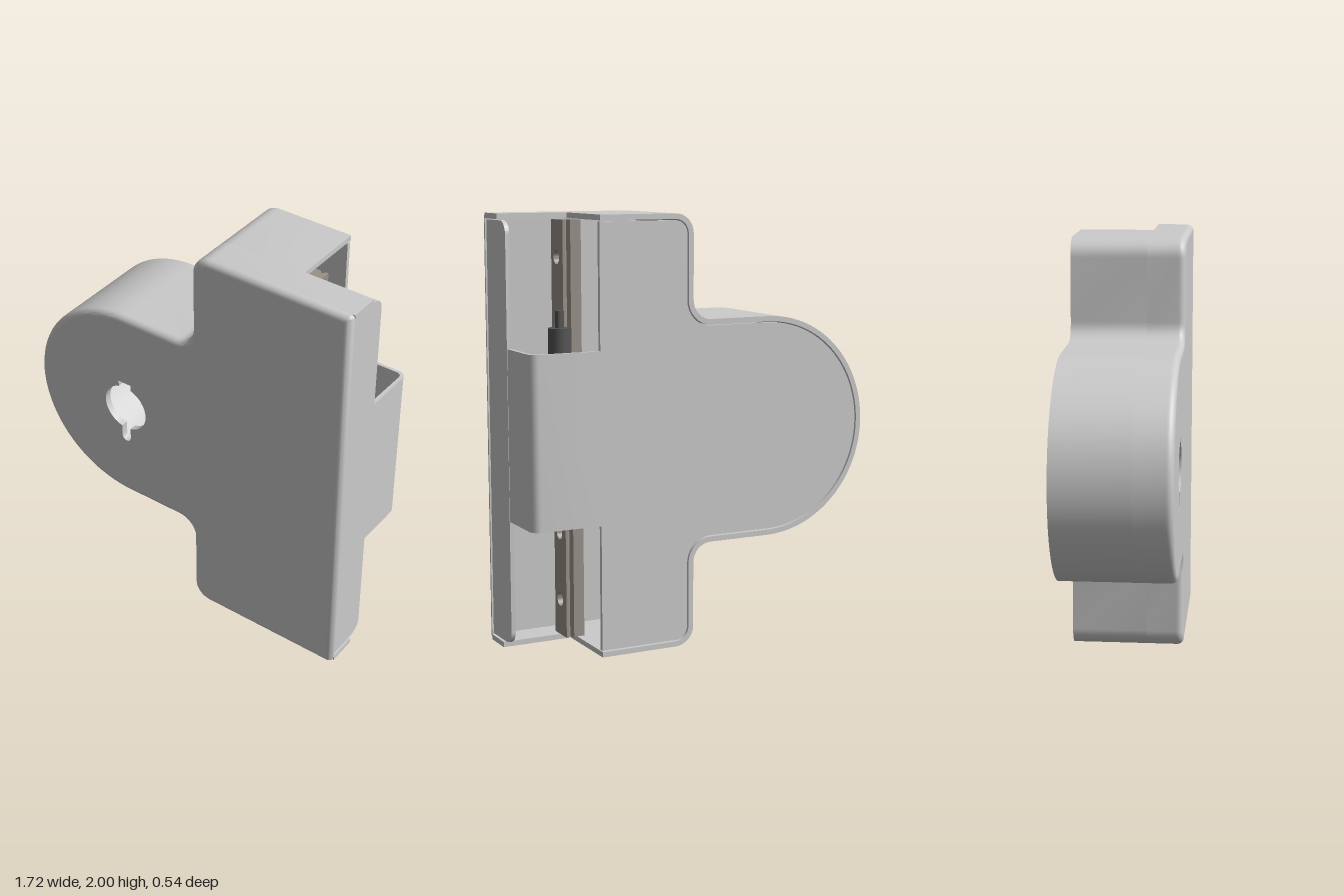
import * as THREE from 'three';
import { toCreasedNormals } from 'three/addons/utils/BufferGeometryUtils.js';

const V = (x, y) => new THREE.Vector2(x, y);
const rad = Math.PI / 180;

function arc(cx, cy, r, a0, a1, n) {
  const pts = [];
  for (let i = 0; i <= n; i++) {
    const a = (a0 + (a1 - a0) * i / n) * rad;
    pts.push(V(cx + r * Math.cos(a), cy + r * Math.sin(a)));
  }
  return pts;
}

// Housing outline inset by d, counter-clockwise from the top right; closed adds the right corners
function outline(d, closed) {
  const c = Math.max(0.02 - d, 0.002);
  const half = [
    ...(closed ? arc(0.86 - d - c, 2 - d - c, c, 0, 90, 4) : []),
    ...arc(0.145, 1.91, 0.09 - d, 90, 180, 8),
    ...arc(-0.035, 1.61, 0.09 + d, 0, -90, 8),
    ...arc(-0.34, 1, 0.52 - d, 90, 180, 24),
  ];
  const mirrored = half.slice(0, -1).reverse().map(p => V(p.x, 2 - p.y));
  return [...half, ...mirrored];
}

function extrude(pts, depth, holes = []) {
  const shape = new THREE.Shape(pts);
  for (const h of holes) shape.holes.push(new THREE.Path(h));
  return new THREE.ExtrudeGeometry(shape, { depth, bevelEnabled: false });
}

// Skin through inset outlines, each given as [inset, z]
function loftRings(list) {
  const rings = list.map(([d, z]) => outline(d, true).map(p => [p.x, p.y, z]));
  const n = rings[0].length, index = [];
  for (let i = 0; i < rings.length - 1; i++)
    for (let j = 0; j < n; j++) {
      const a = i * n + j, b = i * n + (j + 1) % n;
      index.push(a, b, b + n, a, b + n, a + n);
    }
  const g = new THREE.BufferGeometry();
  g.setAttribute('position', new THREE.Float32BufferAttribute(rings.flat(2), 3));
  g.setIndex(index);
  return g;
}

export function createModel() {
  const group = new THREE.Group();
  const grey = new THREE.MeshStandardMaterial({ color: 0xcccccc, side: THREE.DoubleSide });
  const dark = new THREE.MeshStandardMaterial({ color: 0x555555 });
  const metal = new THREE.MeshStandardMaterial({ color: 0x99928a });
  const add = (name, geo, mat = grey, x = 0, y = 0, z = 0) => {
    const m = new THREE.Mesh(toCreasedNormals(geo, 0.6), mat);
    m.name = name;
    m.position.set(x, y, z);
    group.add(m);
    return m;
  };

  // Front plate with the keyed opening
  const kx = -0.34;
  const keyhole = [
    V(kx + 0.035, 1.145), V(kx - 0.035, 1.145),
    ...arc(kx, 1, 0.12, 107, 258, 20),
    ...arc(kx, 0.825, 0.025, 180, 360, 8),
    ...arc(kx, 1, 0.12, 282, 433, 20),
  ];
  add('frontPlate', extrude(outline(0.03, true), 0.035, [keyhole]), grey, 0, 0, 0.235);

  // Rounded rim around the front plate
  const rim = [[0.03, 0.235], [0, 0.235]];
  for (let i = 0; i <= 6; i++) {
    const a = i * 15 * rad;
    rim.push([0.03 * (1 - Math.cos(a)), 0.24 + 0.03 * Math.sin(a)]);
  }
  add('frontRim', loftRings(rim));

  // Outer wall, shortened behind z = 0.09 to leave the corner notches
  const t = 0.025;
  const wall = xEnd => [
    V(xEnd, 2), ...outline(0, false), V(xEnd, 0),
    V(xEnd, t), ...outline(t, false).reverse(), V(xEnd, 2 - t),
  ];
  add('frontWall', extrude(wall(0.86), 0.145), grey, 0, 0, 0.09);
  add('rearWall', extrude(wall(0.52), 0.36), grey, 0, 0, -0.27);

  // Back plate, set slightly inside the wall with a thin gap
  const back = [V(0.52, 1.97), ...outline(0.03, false), V(0.52, 0.03)];
  add('backPlate', extrude(back, 0.02), grey, 0, 0, -0.265);

  // Side panel with rounded rear corners
  const panel = [
    V(-0.24, 0.03),
    ...arc(-0.07, 0.09, 0.06, -90, 0, 8),
    ...arc(-0.07, 1.91, 0.06, 0, 90, 8),
    V(-0.24, 1.97),
  ];
  add('sidePanel', extrude(panel, 0.02).rotateY(Math.PI / 2), grey, 0.832);

  // Middle cover, an open tube section rounded at the rear corner
  const cover = [
    V(0.52, 0.265),
    V(0.52, 0.25),
    ...arc(0.81, 0.225, 0.025, 90, 0, 6),
    V(0.83, -0.02), V(0.85, -0.02),
    ...arc(0.812, 0.225, 0.04, 0, 90, 6),
  ];
  add('middleCover', extrude(cover, 0.79).rotateX(-Math.PI / 2), grey, 0, 0.61);

  // Guide rail: drilled bar with a grooved strip on its rear
  const bar = [V(-0.13, 0.03), V(-0.02, 0.03), V(-0.02, 1.97), V(-0.13, 1.97)];
  const holes = [];
  for (let i = 0; i < 6; i++) holes.push(arc(-0.072, 0.2 + 0.32 * i, 0.032, 0, 345, 23));
  add('guideRail', extrude(bar, 0.09, holes).rotateY(Math.PI / 2), metal, 0.49);
  const groove = [
    V(0.49, -0.02), V(0.58, -0.02), V(0.58, 0), V(0.568, 0),
    V(0.555, -0.016), V(0.542, 0), V(0.49, 0),
  ];
  add('railGroove', extrude(groove, 1.94).rotateX(-Math.PI / 2), metal, 0, 0.03);

  // Small post with a thin pin
  add('post', new THREE.CylinderGeometry(0.052, 0.052, 0.25, 32), dark, 0.66, 1.375, -0.14);
  add('postPin', new THREE.CylinderGeometry(0.02, 0.02, 0.08, 24), dark, 0.66, 1.537, -0.14);

  return group;
}
